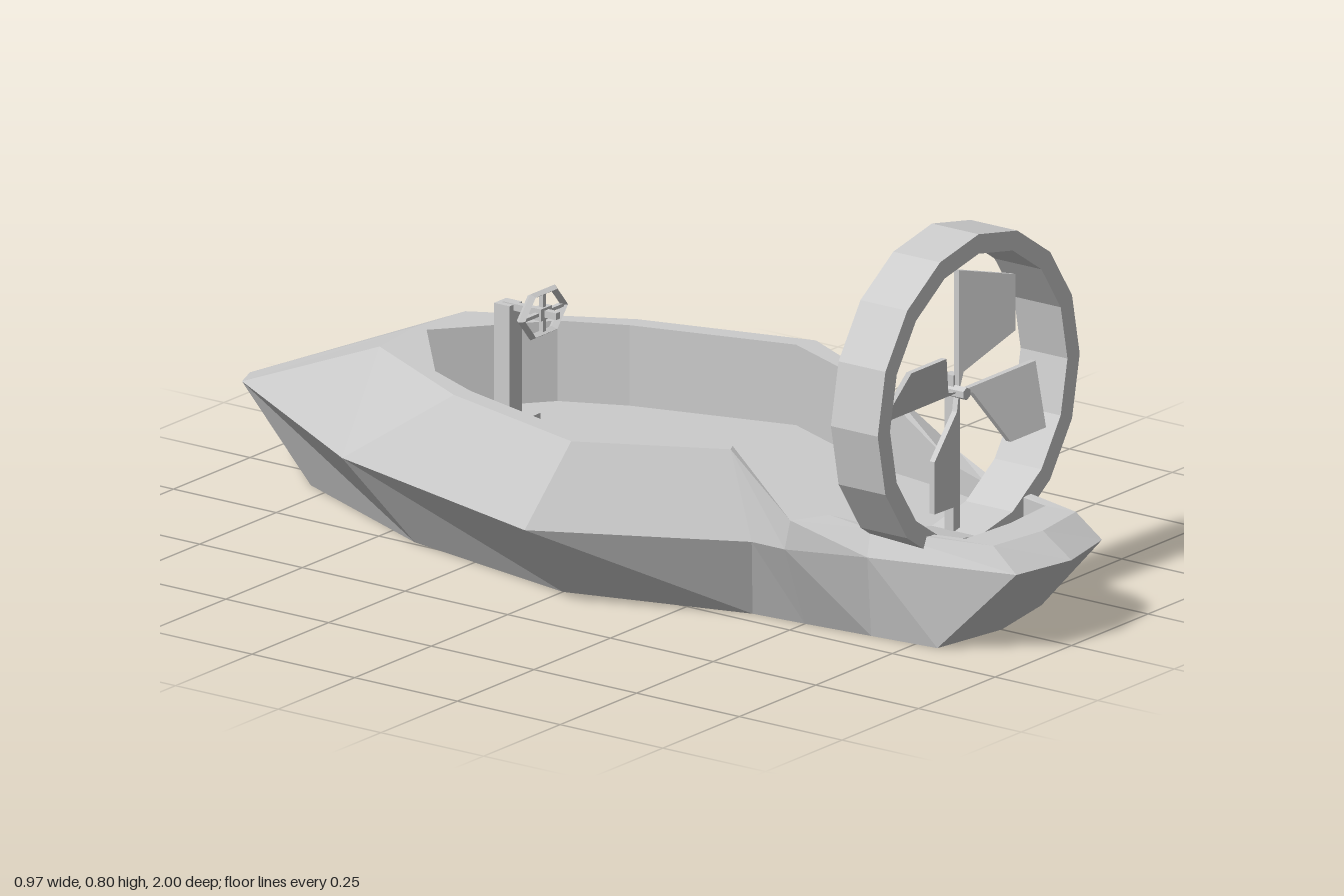
import * as THREE from 'three';

const mat = new THREE.MeshStandardMaterial({ color: 0xcccccc, flatShading: true });
const FLOOR = 0.18;

function add(parent, name, geometry, x = 0, y = 0, z = 0) {
  const mesh = new THREE.Mesh(geometry, mat);
  mesh.name = name;
  mesh.position.set(x, y, z);
  parent.add(mesh);
  return mesh;
}

// Skins a row of closed cross-sections, skipping collapsed triangles
function loft(sections) {
  const pos = [];
  const tri = (...p) => {
    const area = new THREE.Triangle(...p).getArea();
    if (area > 1e-6) p.forEach(v => pos.push(v.x, v.y, v.z));
  };
  for (let i = 0; i < sections.length - 1; i++) {
    const s = sections[i], t = sections[i + 1], n = s.length;
    for (let j = 0; j < n; j++) {
      const k = (j + 1) % n;
      tri(s[j], s[k], t[k]);
      tri(s[j], t[k], t[j]);
    }
  }
  const g = new THREE.BufferGeometry();
  g.setAttribute('position', new THREE.Float32BufferAttribute(pos, 3));
  g.computeVertexNormals();
  return g;
}

// Hull stations from bow to stern: bottom, rim, outer coaming edge and inner lip as [x, y, z];
// the cockpit wall drops straight from the lip to the floor
function hullGeometry() {
  const stations = [
    [[0, 0, -0.82], [0, 0.175, -1], [0, 0.345, -0.6], [0, 0.345, -0.57]],
    [[0.07, 0, -0.8], [0.08, 0.185, -0.96], [0.14, 0.345, -0.58], [0.2, 0.345, -0.4]],
    [[0.24, 0, -0.42], [0.33, 0.175, -0.53], [0.3, 0.345, -0.28], [0.26, 0.345, -0.27]],
    [[0.32, 0, 0], [0.485, 0.175, 0.03], [0.4, 0.345, 0.08], [0.355, 0.345, 0.065]],
    [[0.21, 0, 0.38], [0.28, 0.175, 0.43], [0.255, 0.345, 0.36], [0.235, 0.345, 0.35]],
    [[0.2, 0, 0.5], [0.28, 0.175, 0.51], [0.275, 0.235, 0.52], [0.2, 0.235, 0.56]],
    [[0.185, 0, 0.65], [0.225, 0.175, 0.67], [0.2, 0.225, 0.66], [0.175, 0.222, 0.66]],
    [[0.17, 0, 0.8], [0.14, 0.175, 0.97], [0.135, 0.222, 0.91], [0.13, 0.222, 0.84]],
    [[0, 0, 0.83], [0, 0.175, 1], [0, 0.222, 0.93], [0, 0.222, 0.85]],
  ];
  return loft(stations.map(st => {
    const [lx, , lz] = st[3];
    const half = [...st, [lx, FLOOR, lz]];
    const left = half.map(p => new THREE.Vector3(...p));
    const right = half.map(([x, y, z]) => new THREE.Vector3(-x, y, z)).reverse();
    return [...left, ...right];
  }));
}

// Pitched propeller blade with a straight leading edge
function bladeGeometry() {
  const shape = new THREE.Shape([[0, 0.25], [0, 0], [0.01, 0.04], [0.12, 0.105], [0.12, 0.22]]
    .map(p => new THREE.Vector2(...p)));
  const g = new THREE.ExtrudeGeometry(shape, { depth: 0.012, bevelEnabled: false });
  const p = g.attributes.position;
  for (let i = 0; i < p.count; i++) p.setZ(i, p.getZ(i) - 0.006 + p.getX(i) * 0.4);
  g.computeVertexNormals();
  return g;
}

export function createModel() {
  const boat = new THREE.Group();
  boat.name = 'airboat';
  add(boat, 'hull', hullGeometry());

  // Propeller guard ring, its foot sunk into the stern
  const profile = [[0.33, -0.057], [0.33, 0.057], [0.29, 0.057], [0.29, -0.057], [0.33, -0.057]]
    .map(p => new THREE.Vector2(...p));
  add(boat, 'fanGuard', new THREE.LatheGeometry(profile, 16).rotateX(Math.PI / 2), 0, 0.47, 0.717);

  // Fan on its mast, each blade with its own chord and length
  add(boat, 'fanMast', new THREE.BoxGeometry(0.022, 0.32, 0.022), 0.006, 0.34, 0.705);
  const fan = new THREE.Group();
  fan.name = 'fan';
  fan.position.set(0, 0.467, 0.72);
  boat.add(fan);
  add(fan, 'fanHub', new THREE.CylinderGeometry(0.013, 0.013, 0.05, 6).rotateX(Math.PI / 2));
  const blade = bladeGeometry();
  [[1, 1], [0.87, 1], [1.2, 0.93], [1, 1]].forEach(([chord, length], i) => {
    const mesh = add(fan, 'fanBlade', blade);
    mesh.scale.set(chord, length, 1);
    mesh.rotation.z = i * Math.PI / 2;
  });

  // Steering pedestal
  add(boat, 'pedestalBase', new THREE.BoxGeometry(0.1, 0.03, 0.1), 0, FLOOR + 0.013, -0.38);
  add(boat, 'pedestalPost', new THREE.BoxGeometry(0.04, 0.25, 0.038), 0, 0.315, -0.372);
  add(boat, 'steeringShaft', new THREE.BoxGeometry(0.014, 0.014, 0.13), 0, 0.435, -0.315);

  // Steering wheel, wider than tall
  const wheel = new THREE.Group();
  wheel.name = 'steeringWheel';
  wheel.position.set(0, 0.435, -0.288);
  wheel.scale.set(1, 0.68, 1);
  boat.add(wheel);
  add(wheel, 'wheelRim', new THREE.TorusGeometry(0.07, 0.01, 4, 6));
  add(wheel, 'wheelHub', new THREE.BoxGeometry(0.036, 0.036, 0.02));
  for (let i = 0; i < 2; i++) {
    add(wheel, 'wheelSpoke', new THREE.BoxGeometry(0.13, 0.01, 0.01)).rotation.z = i * Math.PI / 2;
  }
  return boat;
}
